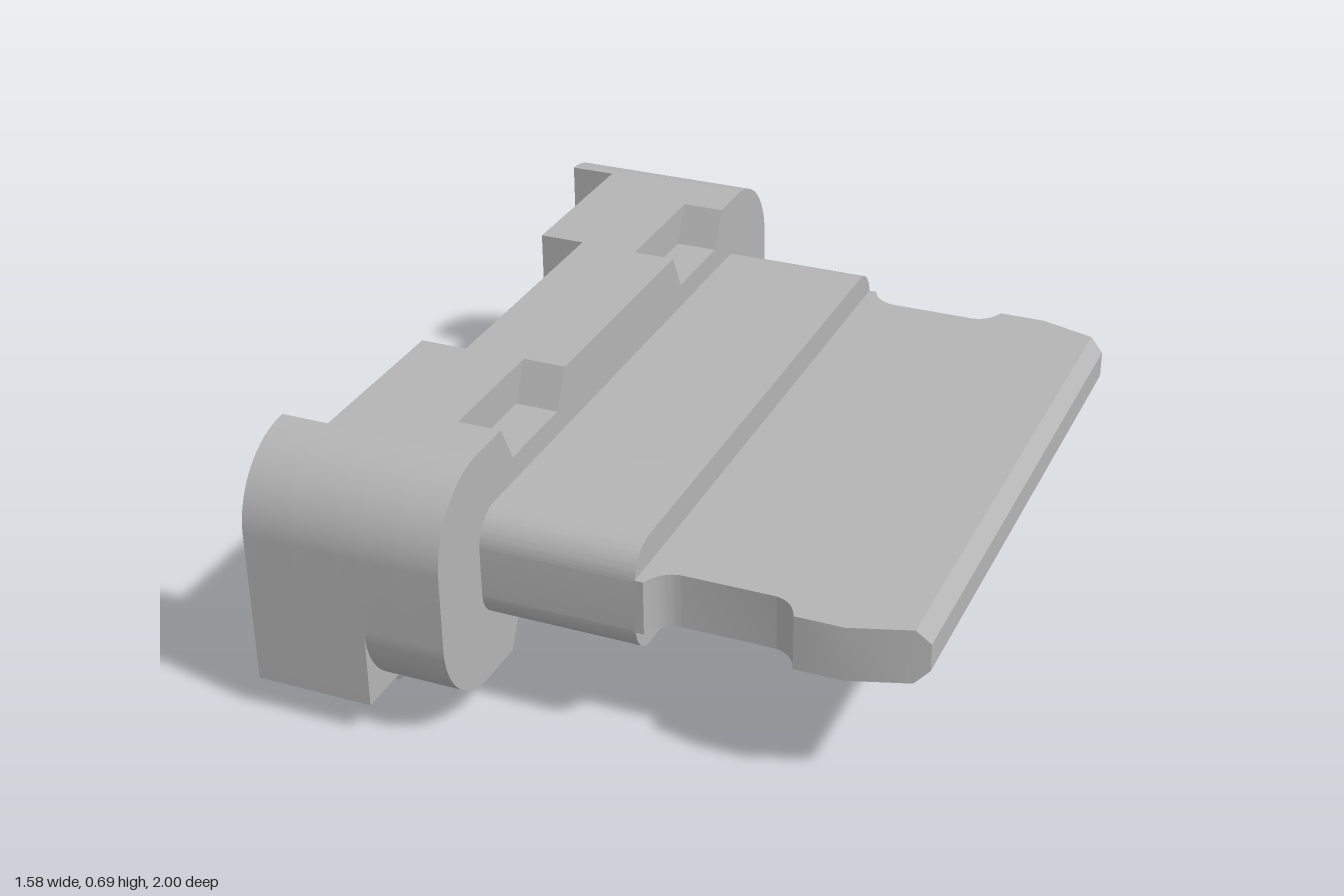
import * as THREE from 'three';
import { toCreasedNormals } from 'three/addons/utils/BufferGeometryUtils.js';

export function createModel() {
  const group = new THREE.Group();
  const grey = new THREE.MeshStandardMaterial({ color: 0xb4b4b4 });
  grey.name = 'light grey';

  function add(name, geometry) {
    const mesh = new THREE.Mesh(toCreasedNormals(geometry, 0.5), grey);
    mesh.name = name;
    group.add(mesh);
  }

  const extrude = (shape, depth) =>
    new THREE.ExtrudeGeometry(shape, { depth, bevelEnabled: false, curveSegments: 14 });

  // Extrudes a (z, y) section along x from x0 to x1
  function addSection(name, shape, x0, x1) {
    add(name, extrude(shape, x1 - x0).rotateY(Math.PI / 2).translate(x0, 0, 0));
  }

  // Rounded section; cuts are [centre, half width at edge, half width inside, depth], in rising order
  function section(hw, y0, y1, rTop, rBottom, topCuts = [], bottomCuts = []) {
    const s = new THREE.Shape();
    s.moveTo(-hw + rBottom, y0);
    for (const [c, outer, inner, d] of bottomCuts) {
      s.lineTo(c - outer, y0);
      s.lineTo(c - inner, y0 + d);
      s.lineTo(c + inner, y0 + d);
      s.lineTo(c + outer, y0);
    }
    s.lineTo(hw - rBottom, y0);
    if (rBottom) s.absarc(hw - rBottom, y0 + rBottom, rBottom, -Math.PI / 2, 0);
    s.lineTo(hw, y1 - rTop);
    s.absarc(hw - rTop, y1 - rTop, rTop, 0, Math.PI / 2);
    for (const [c, outer, inner, d] of [...topCuts].reverse()) {
      s.lineTo(c + outer, y1);
      s.lineTo(c + inner, y1 - d);
      s.lineTo(c - inner, y1 - d);
      s.lineTo(c - outer, y1);
    }
    s.lineTo(-hw + rTop, y1);
    s.absarc(-hw + rTop, y1 - rTop, rTop, Math.PI / 2, Math.PI);
    s.lineTo(-hw, y0 + rBottom);
    if (rBottom) s.absarc(-hw + rBottom, y0 + rBottom, rBottom, Math.PI, Math.PI * 1.5);
    return s;
  }

  // Housing, in slices from the flange to the back
  const Y0 = 0.083, Y1 = 0.69, R = 0.21;
  const notches = [-0.5, 0.5].map((c) => [c, 0.17, 0.12, 0.098]);
  addSection('notchedFlange', section(1, Y0, Y1, R, R, notches, notches), -0.395, -0.285);
  addSection('flangeWithPocket', section(1, Y0, Y1, R, R, [], [[0, 0.17, 0.17, 0.15]]), -0.49, -0.395);
  addSection('housingMiddle', section(1, Y0, Y1, R, 0), -0.55, -0.49);
  addSection('housingBack', section(1, Y0, Y1, R, 0, [[0, 0.335, 0.335, 0.2]]), -0.67, -0.55);

  // Ears reaching past the back
  for (const side of [-1, 1]) {
    const ear = new THREE.Shape();
    ear.moveTo(side * 0.79, Y0);
    ear.lineTo(side, Y0);
    ear.lineTo(side, Y1 - R);
    ear.absarc(side * 0.79, Y1 - R, R, side > 0 ? 0 : Math.PI, Math.PI / 2, side < 0);
    addSection(side < 0 ? 'frontEar' : 'backEar', ear, -0.79, -0.67);
  }

  // Chamfered foot ledge
  const foot = new THREE.Shape([[-0.67, 0], [-0.54, 0], [-0.5, 0.04], [-0.5, 0.09], [-0.67, 0.09]]
    .map(([x, y]) => new THREE.Vector2(x, y)));
  add('footLedge', extrude(foot, 1.56).translate(0, 0, -0.78));

  // Neck
  addSection('neck', section(0.805, 0.242, 0.53, 0.085, 0.085), -0.29, 0.105);

  // Tongue plan with filleted side grips
  const plan = new THREE.Shape();
  const side = (s) => s < 0;
  plan.moveTo(0.1, -0.805);
  plan.lineTo(0.125, -0.805);
  plan.quadraticCurveTo(0.145, -0.75, 0.195, -0.745);
  plan.lineTo(0.42, -0.745);
  plan.quadraticCurveTo(0.465, -0.75, 0.485, -0.805);
  plan.lineTo(0.605, -0.805);
  plan.lineTo(0.75, -0.758);
  plan.lineTo(0.75, 0.758);
  plan.lineTo(0.605, 0.805);
  plan.lineTo(0.485, 0.805);
  plan.quadraticCurveTo(0.465, 0.75, 0.42, 0.745);
  plan.lineTo(0.195, 0.745);
  plan.quadraticCurveTo(0.145, 0.75, 0.125, 0.805);
  plan.lineTo(0.1, 0.805);
  add('tongue', extrude(plan, 0.14).rotateX(Math.PI / 2).translate(0, 0.456, 0));

  // Chamfered tongue tip: box narrowed at its outer end
  const tip = new THREE.BoxGeometry(0.035, 0.14, 1.516);
  const p = tip.attributes.position;
  for (let i = 0; i < p.count; i++) {
    if (p.getX(i) > 0) {
      p.setY(i, p.getY(i) * 0.5);
      p.setZ(i, p.getZ(i) * 0.985);
    }
  }
  add('tongueTip', tip.translate(0.7675, 0.386, 0));

  return group;
}
